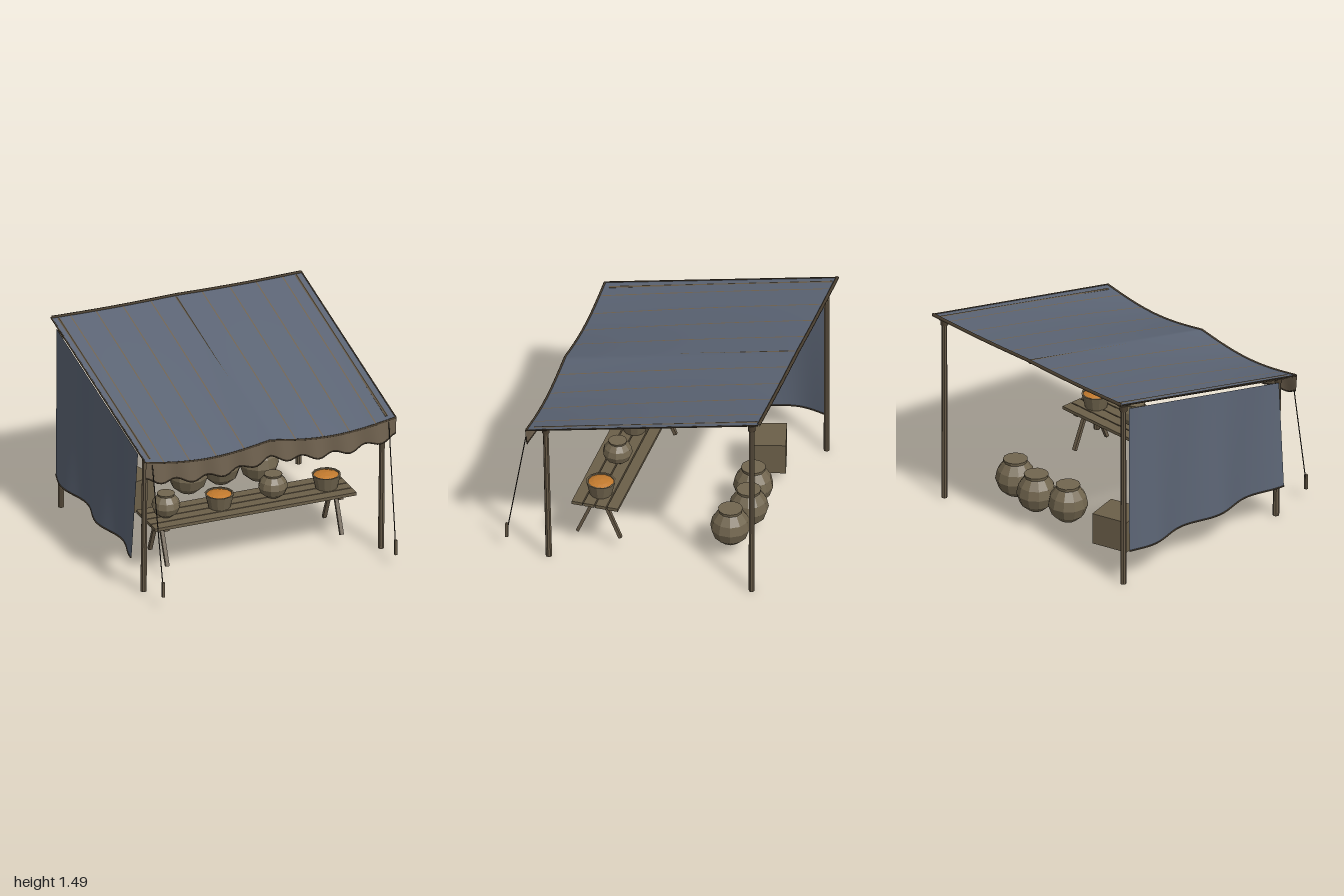
import * as THREE from 'three';
import { ParametricGeometry } from 'three/addons/geometries/ParametricGeometry.js';

const mat = (name, color, extra = {}) => {
  const m = new THREE.MeshStandardMaterial({ color, ...extra });
  m.name = name;
  return m;
};

export function createModel() {
  const cloth = mat('blue grey cloth', 0x5c6575, { side: THREE.DoubleSide });
  const trim = mat('tan cloth', 0x716350, { side: THREE.DoubleSide });
  const hemMat = mat('dark hem', 0x4a3f30);
  const wood = mat('wood', 0x675a47, { flatShading: true });
  const plank = mat('plank wood', 0x6b5f49, { flatShading: true });
  const clay = mat('clay', 0x72664f, { flatShading: true, side: THREE.DoubleSide });
  const ropeMat = mat('rope', 0x38322a);
  const spice = mat('orange spice', 0xc27a2e, { flatShading: true });

  const root = new THREE.Group();
  const V = (x, y, z) => new THREE.Vector3(x, y, z);
  const add = (name, geo, material, parent = root) => {
    const m = new THREE.Mesh(geo, material);
    m.name = name;
    parent.add(m);
    return m;
  };
  const group = (name, x = 0, y = 0, z = 0) => {
    const g = new THREE.Group();
    g.name = name;
    g.position.set(x, y, z);
    root.add(g);
    return g;
  };
  // straight pole between two points
  const pole = (name, a, b, r0, r1, material, sides = 8, parent = root) => {
    const m = add(name, new THREE.CylinderGeometry(r1, r0, a.distanceTo(b), sides), material, parent);
    m.position.copy(a).lerp(b, 0.5);
    m.quaternion.setFromUnitVectors(V(0, 1, 0), b.clone().sub(a).normalize());
    return m;
  };
  const sheet = (name, f, nu, nv, material) =>
    add(name, new ParametricGeometry((u, v, t) => t.copy(f(u, v)), nu, nv), material);
  // thin hem following a path f(0..1)
  const hem = (name, f, r, n) => {
    const pts = Array.from({ length: n + 1 }, (_, i) => f(i / n));
    add(name, new THREE.TubeGeometry(new THREE.CatmullRomCurve3(pts), n, r, 5), hemMat);
  };

  // Awning: sloping sheet that sags between three rails, most at the front
  const X0 = -0.955, X1 = 0.993, ZB = -0.95, ZF = 0.79;
  const lerp = THREE.MathUtils.lerp;
  const slopeY = z => 1.482 - 0.225 * (z - ZB);
  const roofY = (x, z) => {
    const t = (z - ZB) / (ZF - ZB);
    const s = Math.abs(Math.sin(Math.PI * 2 * (x - X0) / (X1 - X0)));
    return slopeY(z) - (0.007 + 0.048 * t * t) * s;
  };
  const roof = (u, v) => {
    const x = lerp(X0, X1, u), z = lerp(ZB, ZF, v);
    return V(x, roofY(x, z), z);
  };
  sheet('awning', roof, 48, 16, cloth);
  hem('awningBackHem', u => roof(u, 0), 0.013, 48);
  hem('awningFrontHem', u => roof(u, 1), 0.009, 48);
  for (const u of [0, 1]) hem('awningSideHem', v => roof(u, v), 0.006, 12);

  // Seams along the slope
  for (const x of [-0.81, -0.61, -0.4, -0.185, 0.215, 0.43, 0.635, 0.84])
    sheet('awningSeam', (u, v) => {
      const p = roof((x + (u - 0.5) * 0.009 - X0) / (X1 - X0), v);
      p.y += 0.0015;
      return p;
    }, 1, 16, trim);

  // Scalloped front valance
  const valance = (u, v) => {
    const p = roof(u, 1);
    const fold = Math.cos(2 * Math.PI * (p.x + 0.35) / 0.245);
    p.y -= v * (0.14 + 0.017 * fold);
    p.z += 0.006 + v * 0.011 * fold;
    return p;
  };
  sheet('valance', valance, 64, 3, trim);
  hem('valanceHem', u => valance(u, 1), 0.005, 64);

  // Side curtain, rippling towards its lower edge
  const curtain = (u, v) => {
    const z = lerp(0.625, -0.87, u);
    const wave = -0.02 - 0.031 * Math.cos(2 * Math.PI * (z + 0.66) / 0.645);
    return V(-0.945 + wave * v, lerp(slopeY(z) - 0.04, 0.272, v), z);
  };
  sheet('sideCurtain', curtain, 40, 10, cloth);
  hem('curtainHem', u => curtain(u, 1), 0.006, 40);

  // Posts, sloping rails and lashings
  for (const x of [-0.905, 0.942]) {
    pole('frontPost', V(x, 0, 0.633), V(x, 1.1, 0.657), 0.024, 0.021, wood);
    pole('backPost', V(x, 0, -0.885), V(x, 1.45, -0.885), 0.022, 0.02, wood);
    pole('backLashing', V(x, 1.395, -0.885), V(x, 1.44, -0.885), 0.028, 0.028, hemMat);
    pole('frontLashing', V(x, 1.065, 0.657), V(x, 1.1, 0.657), 0.027, 0.027, hemMat);
  }
  for (const x of [-0.905, 0.01, 0.942])
    pole('rail', V(x, slopeY(-0.93) - 0.014, -0.93), V(x, slopeY(0.74) - 0.021, 0.74), 0.017, 0.017, wood);

  // Guy ropes and pegs
  for (const [xa, xb] of [[-0.905, -0.886], [0.935, 0.922]]) {
    pole('guyRope', V(xa, 1.07, 0.795), V(xb, 0.15, 0.95), 0.004, 0.004, ropeMat, 5);
    add('peg', new THREE.BoxGeometry(0.02, 0.115, 0.02), wood).position.set(xb, 0.145, 0.953);
  }

  // Plank bench on splayed legs
  const bench = group('bench', 0.0225, 0, 0.332);
  for (let i = 0; i < 4; i++)
    add('benchPlank', new THREE.BoxGeometry(1.565, 0.024, 0.08), plank, bench)
      .position.set(0, 0.394, (i - 1.5) * 0.0885);
  for (const x of [-0.683, 0.673]) {
    add('benchCleat', new THREE.BoxGeometry(0.04, 0.024, 0.3), wood, bench).position.set(x, 0.37, 0);
    for (const s of [-1, 1]) {
      const leg = add('benchLeg', new THREE.BoxGeometry(0.028, 0.305, 0.024), wood, bench);
      leg.position.set(x, 0.226, s * 0.101);
      leg.rotation.x = -s * 0.4;
    }
  }

  // Round clay pots with a flat lid rim
  const pot = (name, x, y, z, r, h, rim, turn) => {
    const g = group(name, x, y, z);
    const body = [[0, 0], [0.42, 0.025], [0.82, 0.2], [1, 0.46], [0.9, 0.7], [0.62, 0.9], [0.55, 0.93]];
    add('potBody', new THREE.LatheGeometry(body.map(([a, b]) => new THREE.Vector2(a * r, b * h)), 11), clay, g);
    const lid = add('potRim', new THREE.CylinderGeometry(rim, rim * 0.95, h * 0.08, 11), clay, g);
    lid.position.y = h * 0.96;
    g.rotation.y = turn;
  };
  pot('benchPot', -0.605, 0.406, 0.335, 0.105, 0.184, 0.066, 0.2);
  pot('benchPot', 0.228, 0.406, 0.335, 0.108, 0.184, 0.068, 0.6);
  pot('storagePot', -0.038, 0.083, -0.6, 0.146, 0.288, 0.09, 0.3);
  pot('storagePot', 0.238, 0.083, -0.65, 0.144, 0.288, 0.09, 0.1);
  pot('storagePot', 0.51, 0.083, -0.595, 0.146, 0.288, 0.09, 0.7);

  // Spice bowls
  for (const x of [-0.19, 0.642]) {
    const g = group('spiceBowl', x, 0.406, 0.335);
    const wall = [[0, 0], [0.08, 0], [0.106, 0.106], [0.094, 0.106], [0.09, 0.085]];
    add('bowl', new THREE.LatheGeometry(wall.map(p => new THREE.Vector2(...p)), 12), clay, g);
    const heap = [[0.093, 0.097], [0.055, 0.11], [0, 0.117]];
    add('spiceHeap', new THREE.LatheGeometry(heap.map(p => new THREE.Vector2(...p)), 12), spice, g);
  }

  // Crate, set at a slight turn
  const crate = add('crate', new THREE.BoxGeometry(0.285, 0.24, 0.265), plank);
  crate.position.set(-0.523, 0.204, -0.562);
  crate.rotation.y = 0.27;

  return root;
}
